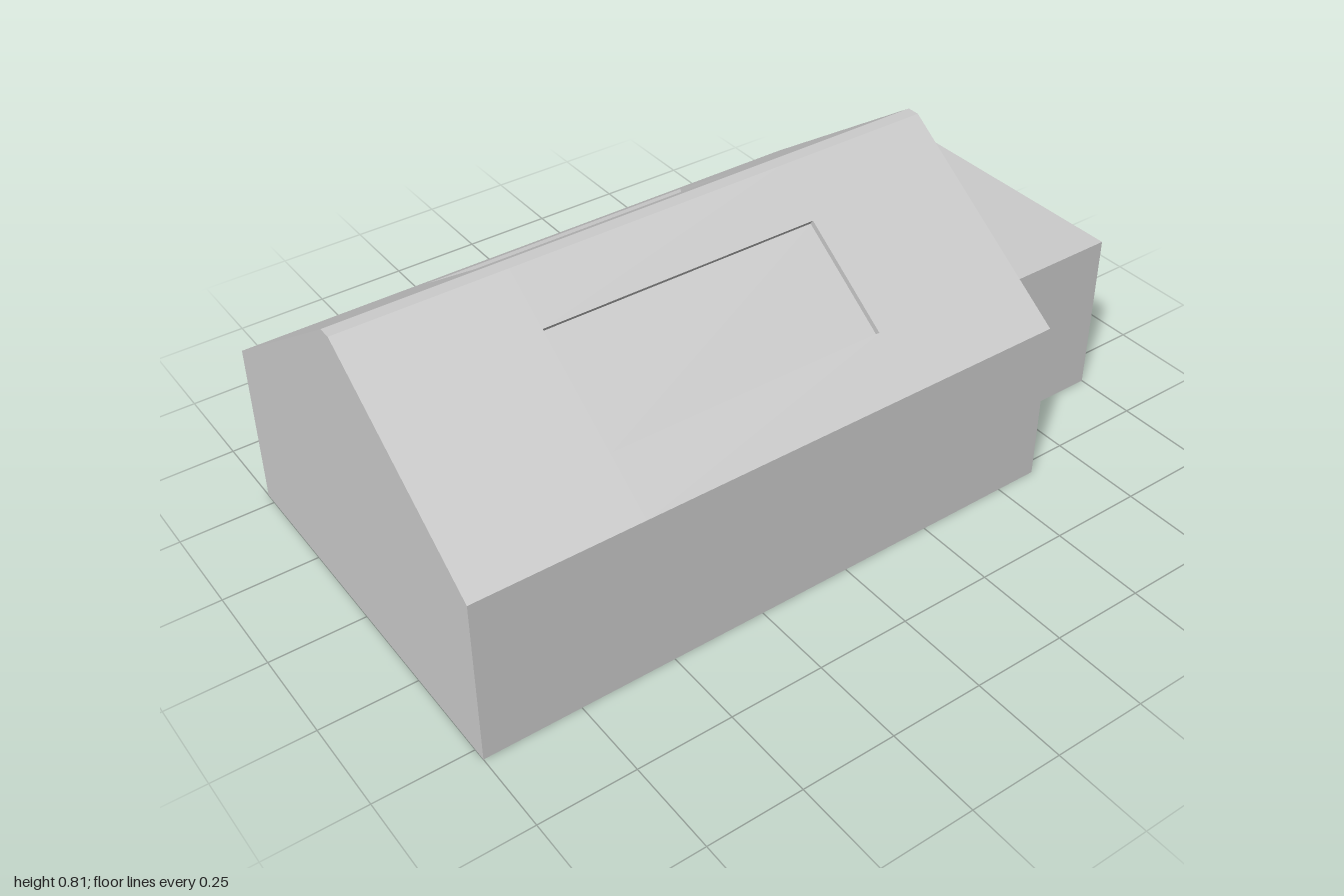
import * as THREE from 'three';

const material = new THREE.MeshStandardMaterial({ color: 0xcccccc, flatShading: true });

// Sweeps a cross-section (drawn in z, y) along x from x0 to x1
function sweep(name, shape, x0, x1) {
  const geometry = new THREE.ExtrudeGeometry(shape, { depth: x1 - x0, bevelEnabled: false });
  geometry.rotateY(Math.PI / 2);
  geometry.translate(x0, 0, 0);
  const mesh = new THREE.Mesh(geometry, material);
  mesh.name = name;
  return mesh;
}

const rect = (halfWidth, y0, y1) => [
  new THREE.Vector2(-halfWidth, y0), new THREE.Vector2(halfWidth, y0),
  new THREE.Vector2(halfWidth, y1), new THREE.Vector2(-halfWidth, y1),
];

function frame(outer, inner) {
  const shape = new THREE.Shape(outer);
  shape.holes.push(new THREE.Path(inner));
  return shape;
}

// Gable cross-section, with a shallow recess in both slopes when depth > 0
function gable(depth) {
  const eave = new THREE.Vector2(0.534, 0.45);
  const ridge = new THREE.Vector2(0.017, 0.81);
  const along = ridge.clone().sub(eave);
  const inward = new THREE.Vector2(-along.y, along.x).normalize().multiplyScalar(depth);
  const half = [new THREE.Vector2(0.534, 0), eave];
  if (depth > 0) {
    const onSlope = z => eave.clone().addScaledVector(along, (z - eave.x) / along.x);
    const low = onSlope(0.4), high = onSlope(0.145);
    half.push(low, low.clone().add(inward), high.clone().add(inward), high);
  }
  half.push(ridge);
  const mirrored = half.map(p => new THREE.Vector2(-p.x, p.y)).reverse();
  return new THREE.Shape([...half, ...mirrored]);
}

export function createModel() {
  const model = new THREE.Group();
  model.name = 'gabledHouse';

  // Main hall: plain ends around a bay with recessed roof panels
  const hall = new THREE.Group();
  hall.name = 'mainHall';
  hall.add(
    sweep('hallRearBay', gable(0), -1, -0.565),
    sweep('hallPanelBay', gable(0.015), -0.565, 0.182),
    sweep('hallEntranceBay', gable(0), 0.182, 0.615),
  );
  model.add(hall);

  // Entrance annex: thin hollow shell closed by a thicker wall with a doorway
  const annex = new THREE.Group();
  annex.name = 'entranceAnnex';
  annex.add(
    sweep('annexShell', frame(rect(0.334, 0, 0.45), rect(0.33, 0.004, 0.446)), 0.615, 0.95),
    sweep('doorwayWall', frame(rect(0.334, 0, 0.45), rect(0.168, 0.016, 0.344)), 0.95, 1),
  );
  model.add(annex);

  return model;
}
